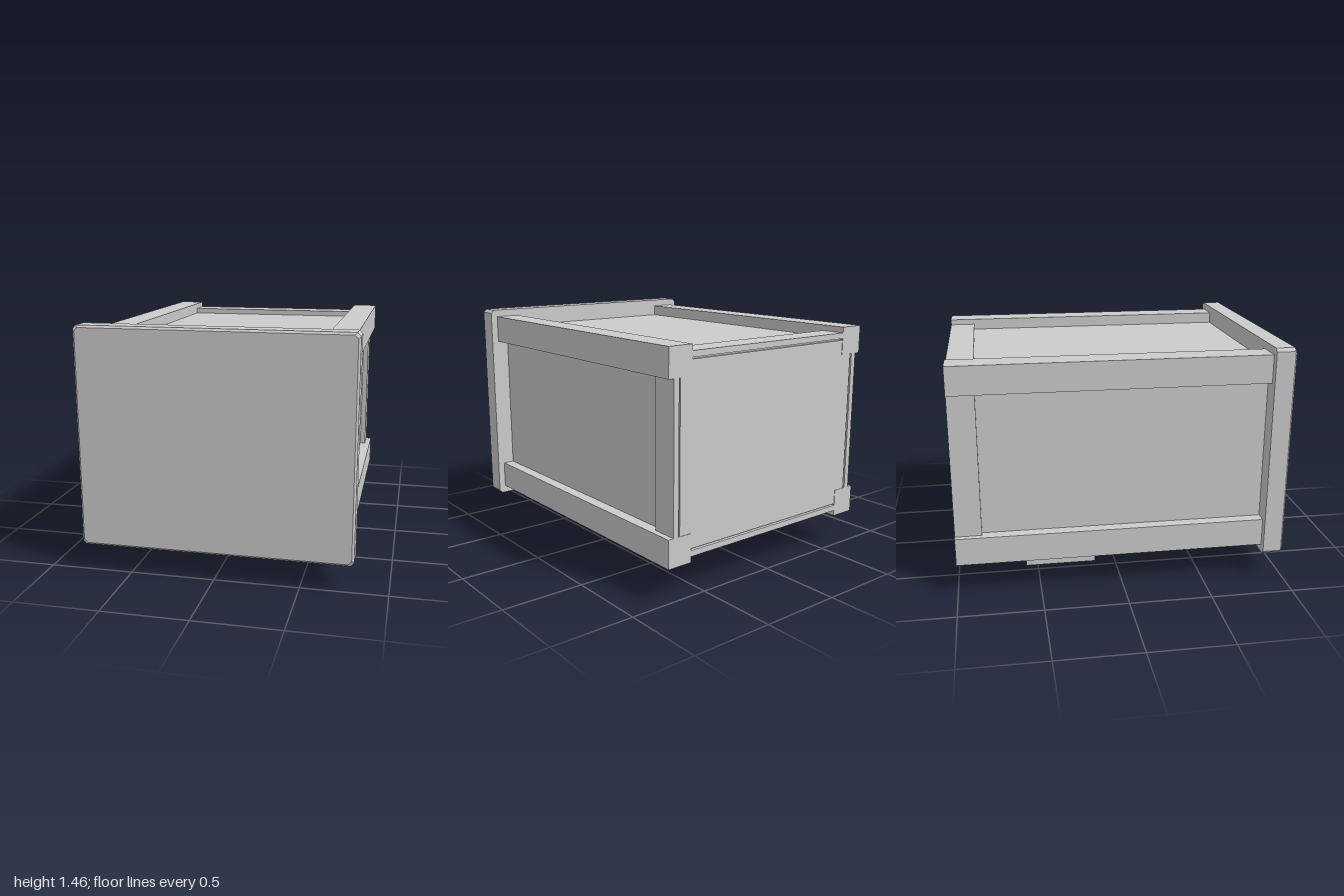
import * as THREE from 'three';

const MID = 0.805; // height of the crate's centre

export function createModel() {
  const root = new THREE.Group();
  const mat = new THREE.MeshStandardMaterial({ color: 0xcccccc, flatShading: true });
  const smoothMat = new THREE.MeshStandardMaterial({ color: 0xcccccc, side: THREE.DoubleSide });

  const add = (name, geo, material = mat, parent = root) => {
    const m = new THREE.Mesh(geo, material);
    m.name = name;
    parent.add(m);
    return m;
  };
  // box given by its minimum and maximum corners
  const box = (name, a, b, parent = root) => {
    const m = add(name, new THREE.BoxGeometry(b[0] - a[0], b[1] - a[1], b[2] - a[2]), mat, parent);
    m.position.set((a[0] + b[0]) / 2, (a[1] + b[1]) / 2, (a[2] + b[2]) / 2);
    return m;
  };

  // four long corner rails
  for (const sx of [-1, 1]) for (const sy of [-1, 1]) {
    const rail = add('cornerRail', new THREE.BoxGeometry(0.16, 0.17, 1.88));
    rail.position.set(sx * 0.68, MID + sy * 0.52, -0.06);
  }

  // rear frame bars and side posts, set in a little from the rails
  for (const s of [-1, 1]) {
    const bar = add('rearBar', new THREE.BoxGeometry(1.2, 0.035, 0.16));
    bar.position.set(0, MID + s * 0.5525, -0.92);
    const post = add('rearPost', new THREE.BoxGeometry(0.035, 0.87, 0.16));
    post.position.set(s * 0.7075, MID, -0.92);
    // recessed side walls
    const wall = add('sideWall', new THREE.BoxGeometry(0.04, 1.07, 1.86));
    wall.position.set(s * 0.67, MID, -0.05);
  }

  // recessed top and rear panels
  box('topPanel', [-0.66, 1.3, -0.98], [0.66, 1.34, 0.88]);
  box('backPanel', [-0.68, 0.28, -0.997], [0.68, 1.33, -0.96]);

  // U-shaped opening outline: straight back edge, round front
  const cz = 0.33, zBack = 0.1;
  const outline = (r, back) => {
    const pts = [new THREE.Vector2(r, back)];
    for (let i = 0; i <= 16; i++) {
      const t = (i / 16) * Math.PI;
      pts.push(new THREE.Vector2(r * Math.cos(t), cz + r * Math.sin(t)));
    }
    pts.push(new THREE.Vector2(-r, back));
    return pts;
  };
  // extrude an x/z outline upward from height y
  const slab = (name, shape, y, h) => {
    const geo = new THREE.ExtrudeGeometry(shape, { depth: h, bevelEnabled: false });
    geo.rotateX(Math.PI / 2); // shape y becomes z, depth runs down
    add(name, geo).position.y = y + h;
  };

  // bottom panel with the opening
  const floor = new THREE.Shape([[-0.66, -0.98], [0.66, -0.98], [0.66, 0.88], [-0.66, 0.88]]
    .map(p => new THREE.Vector2(...p)));
  floor.holes.push(new THREE.Path(outline(0.51, zBack + 0.02)));
  slab('bottomPanel', floor, 0.27, 0.04);

  // thin collar around the opening
  const collar = new THREE.Shape(outline(0.53, zBack));
  collar.holes.push(new THREE.Path(outline(0.505, zBack + 0.025)));
  slab('openingCollar', collar, 0.23, 0.05);

  // smooth hollow above the opening, lofted from shrinking outlines
  const ring = outline(0.51, zBack + 0.02);
  const levels = [[0.25, 1], [0.43, 1], [0.6, 0.93], [0.75, 0.75], [0.84, 0.45], [0.87, 0.01]];
  const pos = [], idx = [], n = ring.length;
  for (const [y, k] of levels)
    for (const p of ring) pos.push(p.x * k, y, cz + (p.y - cz) * k);
  for (let j = 0; j < levels.length - 1; j++)
    for (let i = 0; i < n; i++) {
      const a = j * n + i, b = j * n + (i + 1) % n;
      idx.push(a, b, a + n, b, b + n, a + n);
    }
  const hollow = new THREE.BufferGeometry();
  hollow.setAttribute('position', new THREE.Float32BufferAttribute(pos, 3));
  hollow.setIndex(idx);
  hollow.computeVertexNormals();
  add('openingHollow', hollow, smoothMat);

  // front cover plate with clipped corners and a bevelled front edge
  const plateLoop = (inset) => {
    const w = 0.803 - inset, lo = 0.152 + inset, hi = 1.455 - inset, c = 0.02;
    return [[w - c, lo], [w, lo + c], [w, hi - c], [w - c, hi],
      [c - w, hi], [-w, hi - c], [-w, lo + c], [c - w, lo]];
  };
  const pv = [], pi = [];
  for (const [z, inset] of [[0.875, 0], [0.988, 0], [1, 0.013]])
    for (const [x, y] of plateLoop(inset)) pv.push(x, y, z);
  for (let j = 0; j < 2; j++)
    for (let i = 0; i < 8; i++) {
      const a = j * 8 + i, b = j * 8 + (i + 1) % 8;
      pi.push(a, b, a + 8, b, b + 8, a + 8);
    }
  for (let i = 1; i < 7; i++) pi.push(16, 16 + i, 17 + i, 0, i + 1, i);
  const plate = new THREE.BufferGeometry();
  plate.setAttribute('position', new THREE.Float32BufferAttribute(pv, 3));
  plate.setIndex(pi);
  const plateGeo = plate.toNonIndexed();
  plateGeo.computeVertexNormals();
  add('frontCover', plateGeo);

  // hatch under the crate with a bracket handle
  const hatch = new THREE.Group();
  hatch.name = 'bottomHatch';
  root.add(hatch);
  box('hatchBlock', [-0.58, 0.12, -0.56], [0.555, 0.28, -0.17], hatch);
  box('hatchPlate', [-0.6, 0.083, -0.58], [0.575, 0.122, -0.15], hatch);
  box('handleGrip', [-0.135, 0, -0.365], [0.113, 0.023, -0.335], hatch);
  for (const x of [-0.135, 0.085])
    box('handleLeg', [x, 0.023, -0.365], [x + 0.028, 0.083, -0.335], hatch);

  return root;
}
